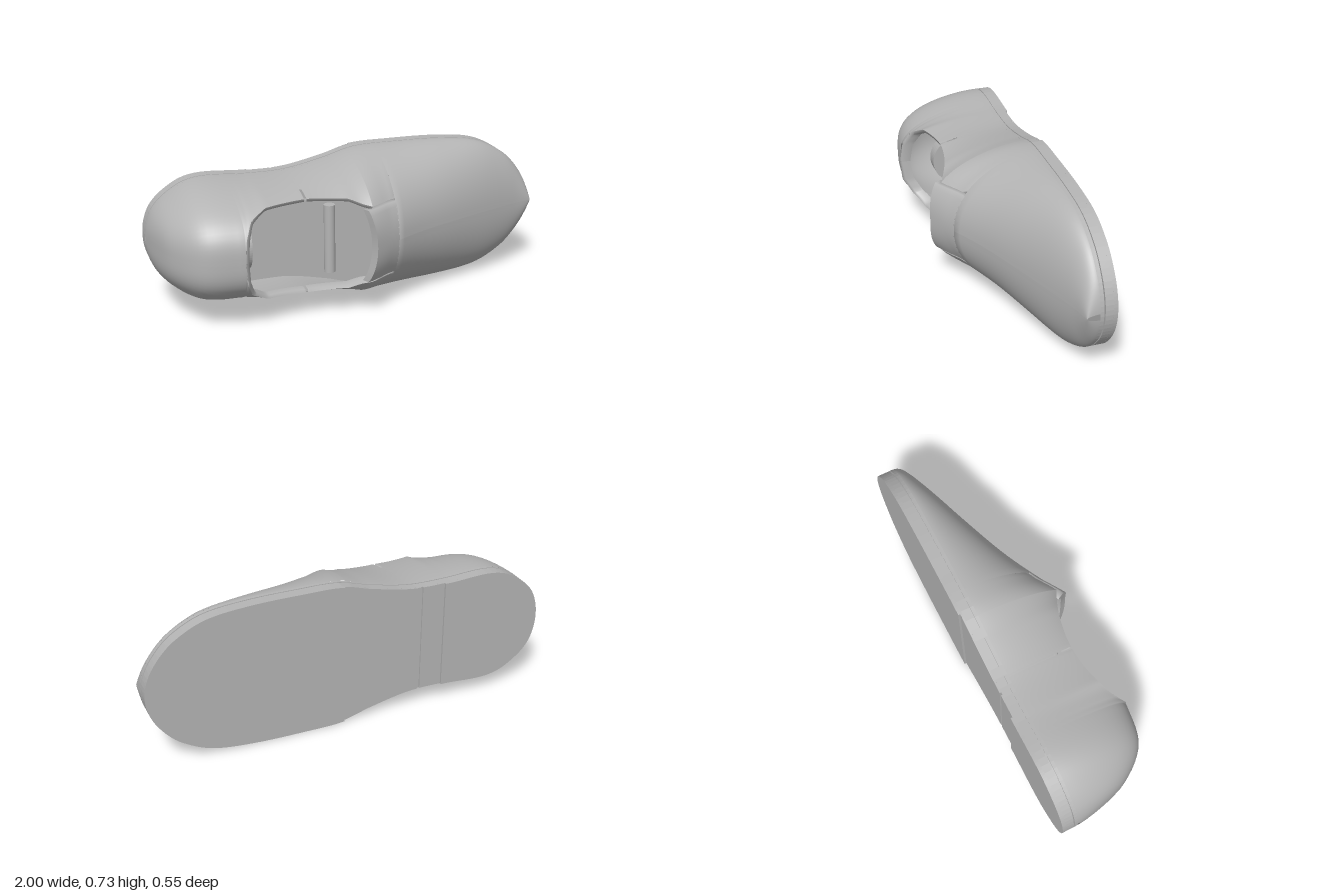
import * as THREE from 'three';

const CY = 0.365;   // centre line of the shoe
const ZB = -0.2;    // seam between upper and sole
const TONGUE = 0.19, SLOT_END = 0.14;

// Smooth interpolation through [x, value] pairs
function smooth(table, x) {
  const n = table.length - 1;
  let i = 0;
  while (i < n - 1 && x > table[i + 1][0]) i++;
  const slope = (k) => {
    const a = table[Math.max(k - 1, 0)], b = table[Math.min(k + 1, n)];
    return (b[1] - a[1]) / (b[0] - a[0]);
  };
  const [x0, y0] = table[i], [x1, y1] = table[i + 1], h = x1 - x0;
  const t = Math.min(Math.max((x - x0) / h, 0), 1), t2 = t * t, t3 = t2 * t;
  return y0 * (2 * t3 - 3 * t2 + 1) + y1 * (3 * t2 - 2 * t3)
    + h * slope(i) * (t3 - 2 * t2 + t) + h * slope(i + 1) * (t3 - t2);
}

// Half width of the footprint (squared, so the ends come out round)
const WIDTH = [[-1, 0], [-0.99, 0.08], [-0.96, 0.15], [-0.9, 0.212], [-0.8, 0.27], [-0.7, 0.286],
  [-0.5, 0.276], [-0.3, 0.28], [-0.1, 0.32], [0.05, 0.36], [0.25, 0.365], [0.5, 0.36], [0.7, 0.335],
  [0.85, 0.262], [0.95, 0.155], [0.985, 0.085], [1, 0]].map(([x, w]) => [x, w * w]);
const HEEL = [[-1, -0.19], [-0.985, -0.1], [-0.96, 0], [-0.93, 0.08], [-0.86, 0.18], [-0.78, 0.235], [-0.62, 0.262]];
const RIM = [[-0.62, 0.262], [-0.57, 0.2], [-0.45, 0.15], [-0.3, 0.13], [-0.2, 0.14], [-0.1, 0.165], [0, 0.21]];
const TOE = [[-0.05, 0.3], [0, 0.275], [0.14, 0.195], [0.3, 0.112], [0.5, 0.03], [0.7, -0.045], [0.9, -0.115], [1, -0.14]];
const OPENING = [[-0.62, 0], [-0.615, 0.1], [-0.58, 0.18], [-0.5, 0.225], [-0.3, 0.235], [-0.1, 0.225], [-0.04, 0.2], [0, 0.19]];

const halfWidth = (x) => Math.sqrt(Math.max(smooth(WIDTH, x), 1e-6));
function linear(table, x) {
  let i = 0;
  while (i < table.length - 2 && x > table[i + 1][0]) i++;
  const [a, b] = [table[i], table[i + 1]];
  return a[1] + (b[1] - a[1]) * (x - a[0]) / (b[0] - a[0]);
}
// Half width of the foot opening, with the slots beside the tongue
function edge(x) {
  if (x <= -0.62 || x > SLOT_END) return 0;
  return x <= 0 ? linear(OPENING, x) : TONGUE;
}
// Rounded section profile: 1 on the centre line, 0 at the sole edge
function profile(x, y) {
  const n = THREE.MathUtils.lerp(3, 2.1, THREE.MathUtils.clamp((x + 0.1) / 0.2, 0, 1));
  return Math.pow(Math.max(1 - Math.pow(Math.min(y / halfWidth(x), 1), n), 0), 0.6);
}
const toeZ = (x, y) => ZB + (smooth(TOE, x) - ZB) * profile(x, y);
function upperZ(x, y) {
  if (x > 0) return toeZ(x, y);
  if (x <= -0.62) return ZB + (smooth(HEEL, x) - ZB) * profile(x, y);
  return ZB + (smooth(RIM, x) - ZB) * profile(x, y) / profile(x, edge(x));
}

// Surface through rows of points
function loft(rows, flip) {
  const m = rows[0].length, index = [];
  for (let i = 0; i < rows.length - 1; i++) {
    for (let j = 0; j < m - 1; j++) {
      const a = i * m + j, b = a + 1, c = a + m, d = c + 1;
      index.push(...(flip ? [a, c, b, b, c, d] : [a, b, c, b, d, c]));
    }
  }
  const geometry = new THREE.BufferGeometry();
  geometry.setAttribute('position', new THREE.Float32BufferAttribute(rows.flat(2), 3));
  geometry.setIndex(index);
  geometry.computeVertexNormals();
  return geometry;
}
const range = (a, b, n) => Array.from({ length: n + 1 }, (_, i) => a + (b - a) * i / n);

// Plate with the footprint outline between two x positions
function plate(x0, x1, z0, z1, scale = 1) {
  const xs = range(0, 1, 64).map((t) => x0 + (x1 - x0) * (1 - Math.cos(Math.PI * t)) / 2);
  const side = (s) => xs.map((x) => new THREE.Vector2(x * scale, CY + s * halfWidth(x) * scale));
  const shape = new THREE.Shape([...side(-1), ...side(1).reverse()]);
  const geometry = new THREE.ExtrudeGeometry(shape, { depth: z1 - z0, bevelEnabled: false });
  return geometry.translate(0, 0, z0);
}

export function createModel() {
  const group = new THREE.Group();
  const grey = new THREE.MeshStandardMaterial({ color: 0xb4b4b4, side: THREE.DoubleSide });
  grey.name = 'grey';
  const add = (name, geometry) => {
    const mesh = new THREE.Mesh(geometry, grey);
    mesh.name = name;
    group.add(mesh);
    return mesh;
  };

  // Upper shell, two mirrored halves, with a narrow notch in each side of the rim
  const xs = [
    ...range(0, 1, 22).map((t) => -0.9995 + 0.3795 * (1 - Math.cos(t * Math.PI / 2))),
    -0.6185, ...range(-0.615, -0.306, 20), -0.3055, -0.2945, ...range(-0.294, 0, 14),
    ...range(0.001, SLOT_END, 6),
    ...range(0, 1, 36).map((t) => 0.1401 + 0.8594 * Math.sin(t * Math.PI / 2)),
  ];
  for (const s of [1, -1]) {
    const rows = xs.map((x) => {
      const notch = x > -0.3058 && x < -0.294 - 1e-4 ? 0.02 : 0;
      const e = edge(x) + notch, w = halfWidth(x);
      return range(0, 1, 18).map((t) => {
        const y = e + (w - e) * Math.cos(t * Math.PI / 2);
        return [x, CY + s * y, upperZ(x, y)];
      });
    });
    add(s > 0 ? 'upperLeft' : 'upperRight', loft(rows, s < 0));

    // Collar lip folded inward around the opening, split by the notch
    for (const [a, b] of [[-0.6199, -0.306], [-0.294, 0]]) {
      const lip = range(a, b, 30).map((x) => {
        const e = edge(x), z = upperZ(x, e), inner = Math.max(e - 0.015, 0);
        const xi = x + 0.015 * Math.max(0, 1 - (x + 0.62) / 0.1);
        return [[x, CY + s * e, z], [xi, CY + s * inner, z - 0.006], [xi, CY + s * inner, z - 0.05]];
      });
      add('collarLip', loft(lip, s < 0));
    }
  }

  // Tongue: a thick flap with a hollowed free edge
  const half = TONGUE - 0.011;
  const tongueRows = range(0, 1, 10).map((t) => {
    const point = (v, drop) => {
      const start = 0.008 - 0.033 * v * v;
      const x = start + (SLOT_END + 0.005 - start) * t;
      return [x - drop * 0.5, CY + v * half, toeZ(x, Math.abs(v) * half) - drop];
    };
    const vs = range(-1, 1, 16);
    return [...vs.map((v) => point(v, 0)), ...vs.slice().reverse().map((v) => point(v, 0.035)), point(-1, 0)];
  });
  add('tongue', loft(tongueRows, true));
  const first = tongueRows[0];
  add('tongueEdge', loft([first.slice(0, 17), first.slice(17, 34).reverse()], false));

  // Insole seen through the opening
  add('insole', plate(-0.95, 0.5, ZB, -0.15, 0.93));

  // Sole: welt, recessed seam and tread blocks with a shallower arch
  add('welt', plate(-1, 1, -0.217, ZB));
  add('soleSeam', plate(-1, 1, -0.225, -0.215, 0.985));
  add('outsole', plate(-1, 1, -0.262, -0.223));
  for (const [name, a, b, z] of [['heelTread', -1, -0.48, -0.28], ['archRear', -0.48, -0.366, -0.27],
    ['archFront', -0.354, 0.04, -0.27], ['foreTread', 0.04, 1, -0.28]]) {
    add(name, plate(a, b, z, -0.261));
  }

  // Ring standing inside the heel
  const ring = new THREE.Shape().absarc(0, 0, 0.13, 0, Math.PI * 2);
  ring.holes.push(new THREE.Path().absarc(0, 0, 0.05, 0, Math.PI * 2, true));
  const ringGeometry = new THREE.ExtrudeGeometry(ring, { depth: 0.065, bevelEnabled: false, curveSegments: 32 });
  add('heelRing', ringGeometry.rotateY(Math.PI / 2)).position.set(-0.615, CY, -0.03);

  // Crossbar in the opening
  add('crossbar', new THREE.CylinderGeometry(0.027, 0.027, 0.34, 24)).position.set(-0.163, CY, 0.06);

  return group;
}
